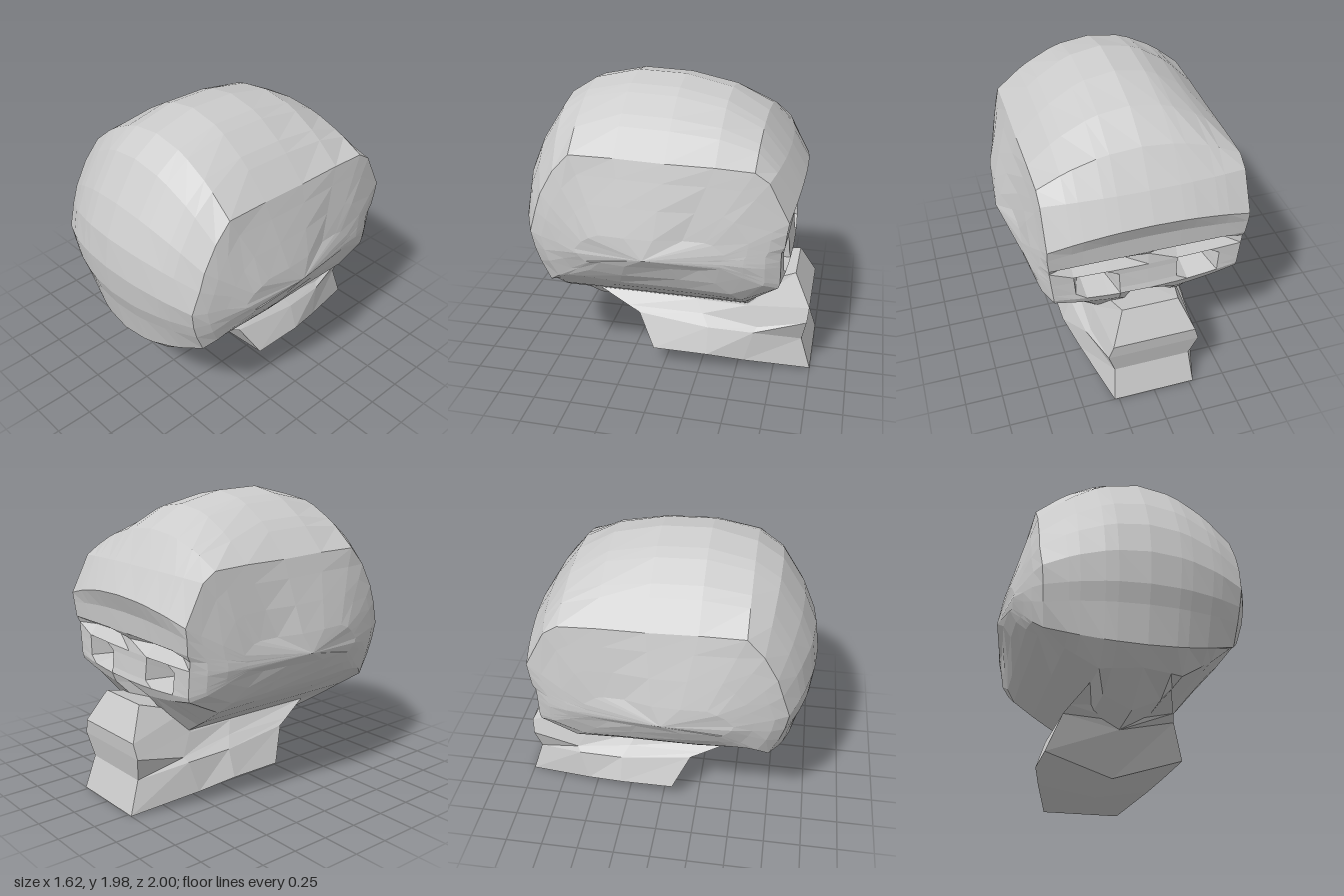
import * as THREE from 'three';

const material = new THREE.MeshStandardMaterial({ color: 0xcccccc, flatShading: true, side: THREE.DoubleSide });

// Skin closed rings of equal length; the first ring runs counter-clockwise seen from outside.
function loft(name, rings, startTip, endTip) {
  const n = rings[0].length;
  const points = [...rings.flat(), startTip, endTip];
  const index = [];
  const start = rings.length * n, end = start + 1, last = start - n;
  for (let j = 0; j < n; j++) {
    const k = (j + 1) % n;
    index.push(start, j, k, end, last + k, last + j);
    for (let i = 0; i < rings.length - 1; i++) {
      const a = i * n + j, b = i * n + k;
      index.push(a, a + n, b, b, a + n, b + n);
    }
  }
  const geometry = new THREE.BufferGeometry();
  geometry.setAttribute('position', new THREE.Float32BufferAttribute(points.flat(), 3));
  geometry.setIndex(index);
  const flat = geometry.toNonIndexed();
  flat.computeVertexNormals();
  const mesh = new THREE.Mesh(flat, material);
  mesh.name = name;
  return mesh;
}

// Piecewise linear lookup in a list of [key, value]
function lookup(table, v) {
  if (v <= table[0][0]) return table[0][1];
  for (let i = 1; i < table.length; i++) {
    const [a, p] = table[i - 1], [b, q] = table[i];
    if (v <= b) return p + (q - p) * (v - a) / (b - a);
  }
  return table[table.length - 1][1];
}

// Outline of the skull at the midline and at the side crease: [z, y, creaseZ, creaseY]
const PROFILE = [
  [-0.88, 1.37, -0.83, 1.27], [-0.77, 1.55, -0.70, 1.52], [-0.61, 1.76, -0.61, 1.58],
  [-0.37, 1.90, -0.37, 1.59], [-0.06, 1.97, -0.06, 1.59], [0.26, 1.98, 0.26, 1.60],
  [0.55, 1.91, 0.55, 1.60], [0.72, 1.80, 0.66, 1.48], [0.88, 1.55, 0.75, 1.32],
  [0.97, 1.34, 0.79, 1.20], [1.00, 1.13, 0.84, 1.04], [0.98, 0.92, 0.82, 0.92],
  [0.94, 0.80, 0.79, 0.82], [0.89, 0.56, 0.73, 0.68],
  // underside
  [0.78, 0.46, 0.66, 0.70], [0.50, 0.29, 0.55, 0.71], [0.20, 0.27, 0.26, 0.69],
  [-0.24, 0.40, -0.24, 0.69], [-0.55, 0.45, -0.55, 0.68],
  // face: nose, lower socket rim, socket floor and roof, upper rim, brow
  [-0.79, 0.73, -0.78, 0.80], [-0.82, 0.80, -0.79, 0.83], [-0.81, 0.84, -0.79, 0.87],
  [-0.80, 0.95, -0.79, 0.96], [-0.80, 0.99, -0.79, 1.00], [-0.79, 1.07, -0.79, 1.06],
  [-0.82, 1.11, -0.81, 1.10], [-0.83, 1.25, -0.82, 1.20],
];
const UNDERSIDE = [14, 18], NOSE = 19, SOCKET = [21, 22], UNDER_BROW = 24, CREASE_X = 0.65;

// One lengthwise section of the skull at a given x
function section(x) {
  const width = Math.abs(x), r = width / CREASE_X;
  return PROFILE.map(([cz, cy, sz, sy], i) => {
    const under = i >= UNDERSIDE[0] && i <= UNDERSIDE[1];
    const t = under ? r : r * r;
    let z = cz + (sz - cz) * t;
    // the underside steps down from the sides to a flat base with a central keel
    const y = under
      ? lookup([[0, cy], [0.2, (cy + 0.45) / 2], [0.28, 0.45], [0.5, 0.58], [CREASE_X, sy]], width)
      : cy + (sy - cy) * t;
    if (SOCKET.includes(i) && width > 0.25 && width < 0.45) z = -0.56;
    if (i === UNDER_BROW && width > 0.1 && width < 0.55) z += 0.05;
    if (i === NOSE && x === 0) z = -0.62;
    const narrow = 1 - 0.08 * THREE.MathUtils.clamp((1.2 - y) / 0.55, 0, 1);
    return [x * narrow, y, z];
  });
}

// Width of the bulging temples by height and by depth
const WIDTH_Y = [[0.69, 0.62], [0.84, 0.735], [0.98, 0.81], [1.15, 0.79], [1.59, 0.65]];
const WIDTH_Z = [[-0.84, 0.65], [-0.51, 0.735], [-0.2, 0.745], [0.05, 0.81], [0.4, 0.79], [0.84, 0.65]];
const CENTRE = { z: 0.05, y: 1.0 }, BULGE = 0.16;

// Crease outline shrunk towards the middle of the temple, more in height than in depth
function templeRing(scale, side) {
  return PROFILE.map(([, , sz, sy]) => {
    const z = CENTRE.z + (sz - CENTRE.z) * (0.45 + 0.55 * scale);
    const y = CENTRE.y + (sy - CENTRE.y) * scale;
    const bulge = (lookup(WIDTH_Y, y) - CREASE_X) * (lookup(WIDTH_Z, z) - CREASE_X) / BULGE;
    return [side * (CREASE_X + bulge), y, z];
  });
}

function createCranium() {
  const xs = [0.65, 0.5, 0.43, 0.28, 0.2, 0, -0.2, -0.28, -0.43, -0.5, -0.65];
  const scales = [0.22, 0.52, 0.8];
  const rings = [
    ...scales.map((s) => templeRing(s, 1)),
    ...xs.map(section),
    ...scales.slice().reverse().map((s) => templeRing(s, -1)),
  ];
  return loft('cranium', rings, [0.81, CENTRE.y, CENTRE.z], [-0.81, CENTRE.y, CENTRE.z]);
}

// Jaw levels from chin to upper teeth: four points on one side, then the rear middle
function createJaw() {
  const levels = [
    [[0.28, 0, -1], [0.40, 0.08, -0.55], [0.46, 0.13, -0.3], [0.46, 0.13, 0.07], [0, 0, 0]],
    [[0.26, 0.22, -0.93], [0.37, 0.29, -0.61], [0.40, 0.31, -0.3], [0.37, 0.35, 0.19], [0, 0.27, 0.19]],
    [[0.31, 0.38, -0.96], [0.34, 0.32, -0.63], [0.34, 0.38, -0.25], [0.34, 0.38, 0.28], [0, 0.32, 0.22]],
    [[0.28, 0.48, -0.97], [0.30, 0.46, -0.55], [0.29, 0.46, -0.2], [0.26, 0.455, 0.5], [0, 0.40, 0.3]],
    [[0.19, 0.69, -0.86], [0.26, 0.60, -0.55], [0.24, 0.55, -0.2], [0.2, 0.52, 0.3], [0, 0.5, 0.2]],
  ];
  const rings = levels.map((half) => [
    ...half,
    ...half.slice(0, 4).reverse().map(([x, y, z]) => [-x, y, z]),
  ]);
  return loft('jaw', rings, [0, 0, -0.5], [0, 0.6, -0.5]);
}

export function createModel() {
  const group = new THREE.Group();
  group.name = 'skull';
  group.add(createCranium(), createJaw());
  return group;
}
